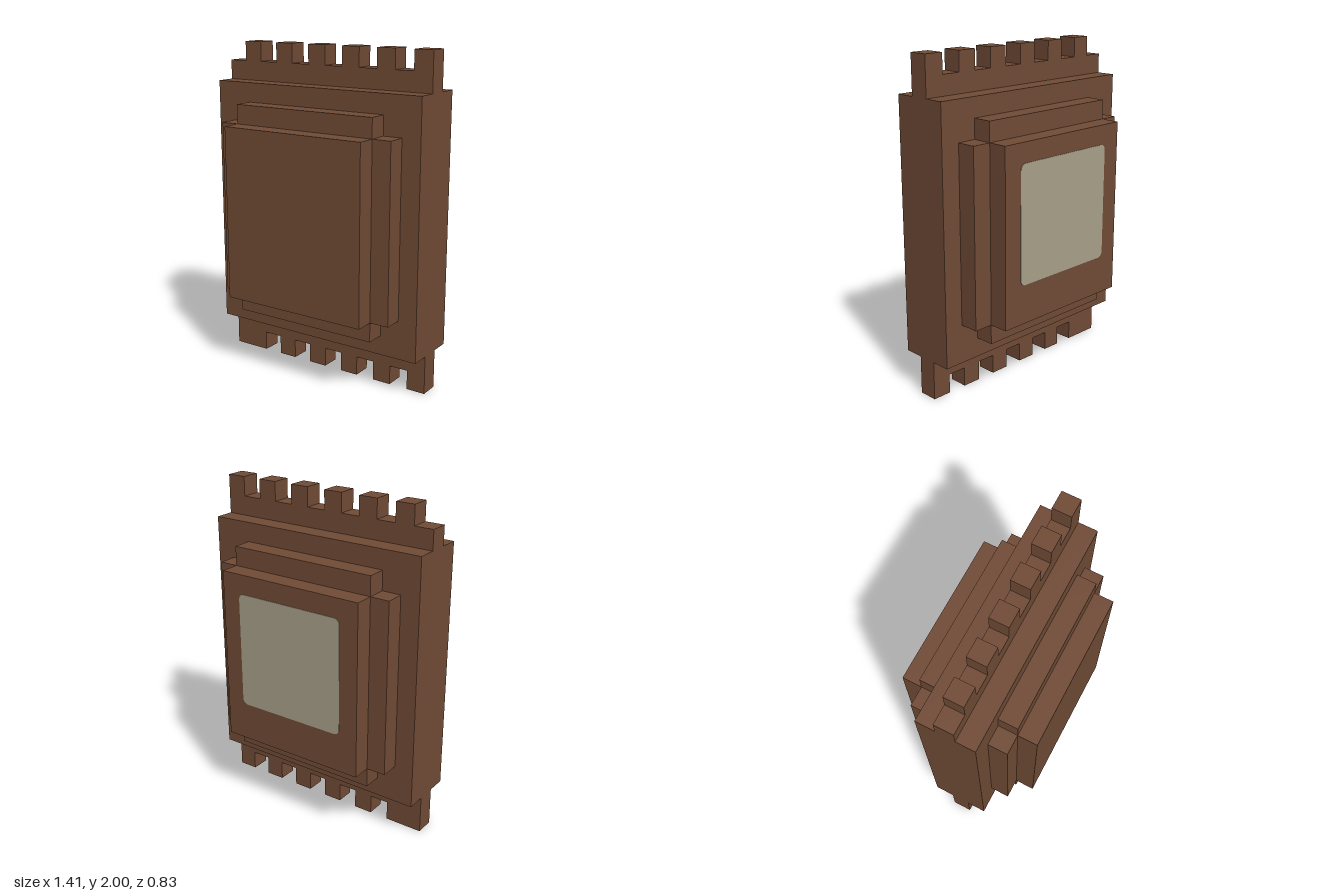
import * as THREE from 'three';

const U = 2 / 17; // one block unit

export function createModel() {
  const model = new THREE.Group();
  model.name = 'steppedPanel';

  const brown = new THREE.MeshStandardMaterial({ color: 0x714b36 });
  brown.name = 'brown';
  const paleGrey = new THREE.MeshStandardMaterial({ color: 0xa8a08a });
  paleGrey.name = 'paleGrey';

  const add = (name, geometry, material) => {
    const mesh = new THREE.Mesh(geometry, material);
    mesh.name = name;
    model.add(mesh);
    return mesh;
  };

  // Slab of an outline given in block units, centred on z = 0
  const slab = (name, points, depth) => {
    const shape = new THREE.Shape(points.map(([x, y]) => new THREE.Vector2(x * U, y * U)));
    const geometry = new THREE.ExtrudeGeometry(shape, { depth: depth * U, bevelEnabled: false });
    geometry.translate(0, 0, -depth * U / 2);
    return add(name, geometry, brown);
  };

  const rectangle = (x, y0, y1) => [[-x, y0], [x, y0], [x, y1], [-x, y1]];

  // Thin core with teeth along the top and bottom edges
  const comb = [[-6, 0]];
  for (let x = -4; x <= 4; x += 2) comb.push([x, 0], [x, 1], [x + 1, 1], [x + 1, 0]);
  comb.push([6, 0], [6, 17]);
  for (let x = 5; x >= -3; x -= 2) comb.push([x, 17], [x, 16], [x - 1, 16], [x - 1, 17]);
  comb.push([-5, 17], [-5, 16], [-6, 16]);
  slab('toothedCore', comb, 1);

  // Main body
  slab('body', rectangle(6, 2, 15), 3);

  // Cross-shaped step on front and back
  slab('crossStep', [
    [-4, 3], [4, 3], [4, 4], [5, 4], [5, 13], [4, 13],
    [4, 14], [-4, 14], [-4, 13], [-5, 13], [-5, 4], [-4, 4],
  ], 5);

  // Raised outer panels on front and back
  slab('outerPanel', rectangle(4, 4, 13), 7);

  // Rounded plate on the back
  const h = 3 * U, r = 0.035;
  const outline = new THREE.Shape();
  outline.absarc(h - r, h - r, r, 0, Math.PI / 2);
  outline.absarc(-h + r, h - r, r, Math.PI / 2, Math.PI);
  outline.absarc(-h + r, -h + r, r, Math.PI, Math.PI * 1.5);
  outline.absarc(h - r, -h + r, r, Math.PI * 1.5, Math.PI * 2);
  const plate = add('backPlate',
    new THREE.ExtrudeGeometry(outline, { depth: 0.003, bevelEnabled: false, curveSegments: 6 }), paleGrey);
  plate.position.set(0, 9 * U, -3.5 * U - 0.003);

  return model;
}
